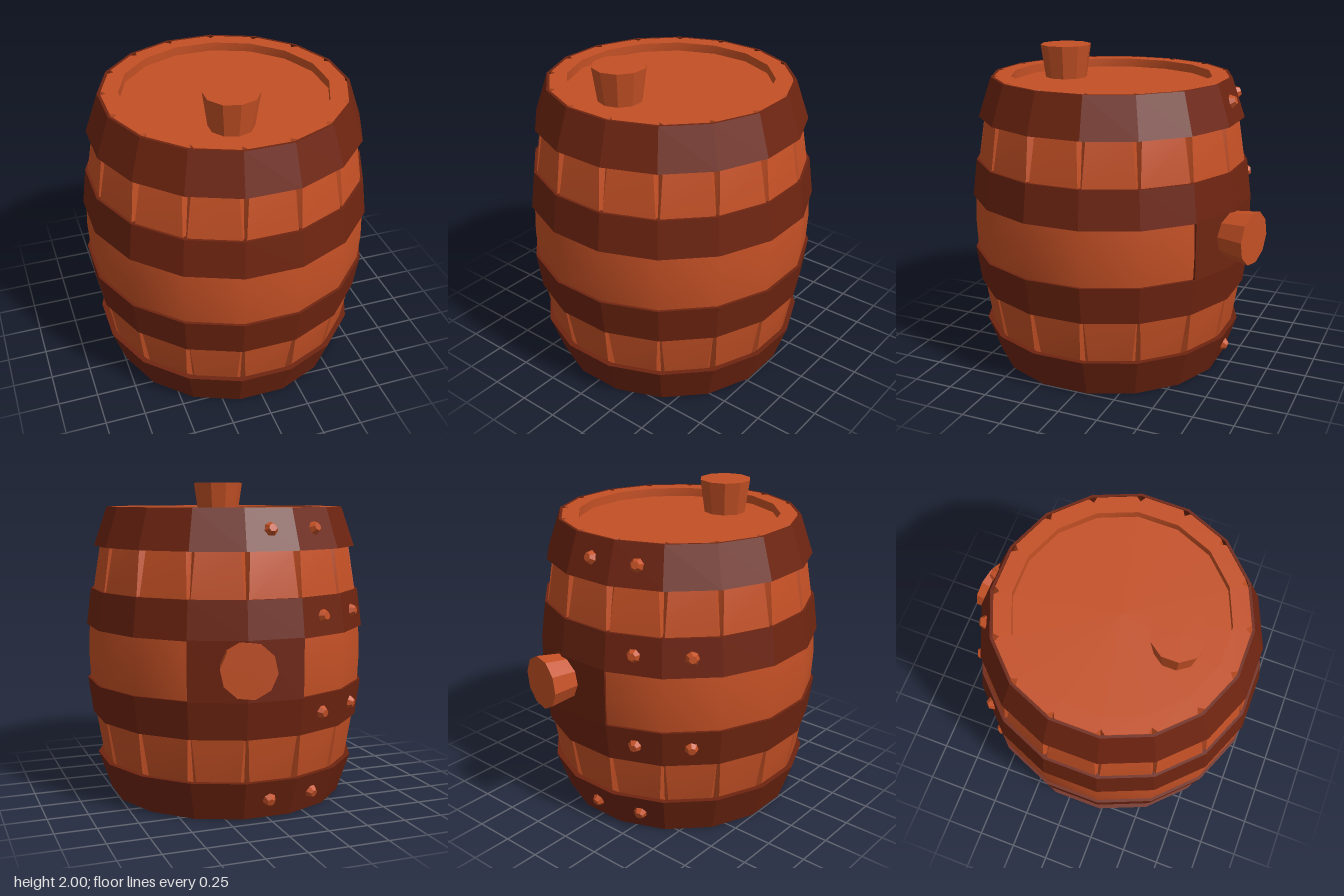
import * as THREE from 'three';
import { toCreasedNormals } from 'three/addons/utils/BufferGeometryUtils.js';

const SIDES = 16;
const STEP = (Math.PI * 2) / SIDES;
const FLAT = Math.cos(STEP / 2); // flat radius / corner radius
const MID = 0.9225; // height of the widest point

function flat(geometry) {
  const g = geometry.index ? geometry.toNonIndexed() : geometry;
  g.computeVertexNormals();
  return g;
}

// Staves, rims and recessed lids: rows of [y, flat radius, half groove width, groove depth]
function barrelBody() {
  const lower = [
    [0.055, 0], [0.055, 0.62], [0, 0.62], [0, 0.725, 0.026, 0.035], [0.25, 0.794, 0.026, 0.035],
    [0.52, 0.835, 0.012, 0.025], [0.72, 0.861], [MID, 0.87],
  ];
  const upper = lower.slice(0, -1).reverse().map(([y, ...rest]) => [2 * MID - y, ...rest]);
  const rows = [...lower, ...upper];
  const positions = [];
  const indices = [];
  const perRow = SIDES * 3;
  for (const [y, apothem, half = 0, depth = 0] of rows) {
    const r = apothem / FLAT;
    const corner = (i, s = r) => {
      const a = (i + 0.5) * STEP;
      return new THREE.Vector3(Math.sin(a) * s, y, Math.cos(a) * s);
    };
    const t = r > 0 ? half / (2 * r * Math.sin(STEP / 2)) : 0;
    for (let i = 0; i < SIDES; i++) {
      positions.push(...corner(i).lerp(corner(i - 1), t).toArray());
      positions.push(...corner(i, r - depth).toArray());
      positions.push(...corner(i).lerp(corner(i + 1), t).toArray());
    }
  }
  for (let j = 0; j < rows.length - 1; j++) {
    for (let i = 0; i < perRow; i++) {
      const a = j * perRow + i;
      const b = j * perRow + ((i + 1) % perRow);
      indices.push(a, b, b + perRow, a, b + perRow, a + perRow);
    }
  }
  const g = new THREE.BufferGeometry();
  g.setAttribute('position', new THREE.Float32BufferAttribute(positions, 3));
  g.setIndex(indices);
  return toCreasedNormals(g, 0.5);
}

// Closed faceted ring between two heights
function hoop(y0, out0, in0, y1, out1, in1) {
  const profile = [[out0, y0], [out1, y1], [in1, y1], [in0, y0], [out0, y0]]
    .map(([r, y]) => new THREE.Vector2(r / FLAT, y));
  return flat(new THREE.LatheGeometry(profile, SIDES, STEP / 2));
}

// Plate over two facets at the back, joining the middle hoops
function backPlate() {
  const shape = new THREE.Shape();
  const point = (k, r) => {
    const a = Math.PI + (k + 0.5) * STEP;
    return new THREE.Vector2((Math.sin(a) * r) / FLAT, (-Math.cos(a) * r) / FLAT);
  };
  shape.setFromPoints([
    ...[-2, -1, 0].map((k) => point(k, 0.88)),
    ...[0, -1, -2].map((k) => point(k, 0.85)),
  ]);
  const g = new THREE.ExtrudeGeometry(shape, { depth: 0.36, bevelEnabled: false });
  g.rotateX(-Math.PI / 2).translate(0, MID - 0.18, 0);
  return g;
}

export function createModel() {
  const wood = new THREE.MeshStandardMaterial({ color: 0xc45025 });
  wood.name = 'orange wood';
  const metal = new THREE.MeshStandardMaterial({ color: 0x6e2410 });
  metal.name = 'dark hoop brown';

  const model = new THREE.Group();
  model.name = 'barrel';
  const add = (name, geometry, material) => {
    const mesh = new THREE.Mesh(geometry, material);
    mesh.name = name;
    mesh.position.z = 0.085;
    model.add(mesh);
    return mesh;
  };

  add('staves', barrelBody(), wood);

  // Hoops
  const top = 2 * MID;
  add('topHoop', hoop(1.6, 0.825, 0.79, top, 0.743, 0.727), metal);
  add('bottomHoop', hoop(0, 0.743, 0.727, top - 1.6, 0.825, 0.79), metal);
  add('upperMiddleHoop', hoop(1.097, 0.88, 0.84, 1.33, 0.85, 0.81), metal);
  add('lowerMiddleHoop', hoop(top - 1.33, 0.85, 0.81, top - 1.097, 0.88, 0.84), metal);
  add('bungPlate', backPlate(), metal);

  // Bungs: one standing on the lid, one through the back plate
  const bung = flat(new THREE.CylinderGeometry(0.165, 0.135, 0.21, 10));
  const lidBung = add('lidBung', bung, wood);
  lidBung.position.set(-0.085, 1.895, 0.448);
  const backBung = add('backBung', bung, wood);
  const dir = new THREE.Vector3(Math.sin(0.215), 0, -Math.cos(0.215));
  backBung.quaternion.setFromUnitVectors(new THREE.Vector3(0, 1, 0), dir);
  backBung.position.addScaledVector(dir, 0.935).setY(0.955);

  // Rivets on the back right of each hoop, mirrored top to bottom
  const rivet = flat(new THREE.CylinderGeometry(0.024, 0.048, 0.04, 7));
  const rivetRows = [
    { height: 0.802, radius: 0.785, tilt: 0.32, facets: [0, 1] },
    { height: 0.29, radius: 0.866, tilt: 0.13, facets: [1, 2] },
  ];
  for (const { height, radius, tilt, facets } of rivetRows) {
    for (const side of [1, -1]) {
      for (const k of facets) {
        const a = Math.PI + k * STEP;
        const mesh = add('rivet', rivet, wood);
        mesh.position.x = Math.sin(a) * radius;
        mesh.position.y = MID + side * height;
        mesh.position.z += Math.cos(a) * radius;
        const normal = new THREE.Vector3(
          Math.sin(a) * Math.cos(tilt), side * Math.sin(tilt), Math.cos(a) * Math.cos(tilt));
        mesh.quaternion.setFromUnitVectors(new THREE.Vector3(0, 1, 0), normal);
        mesh.position.addScaledVector(normal, 0.01);
      }
    }
  }
  return model;
}
